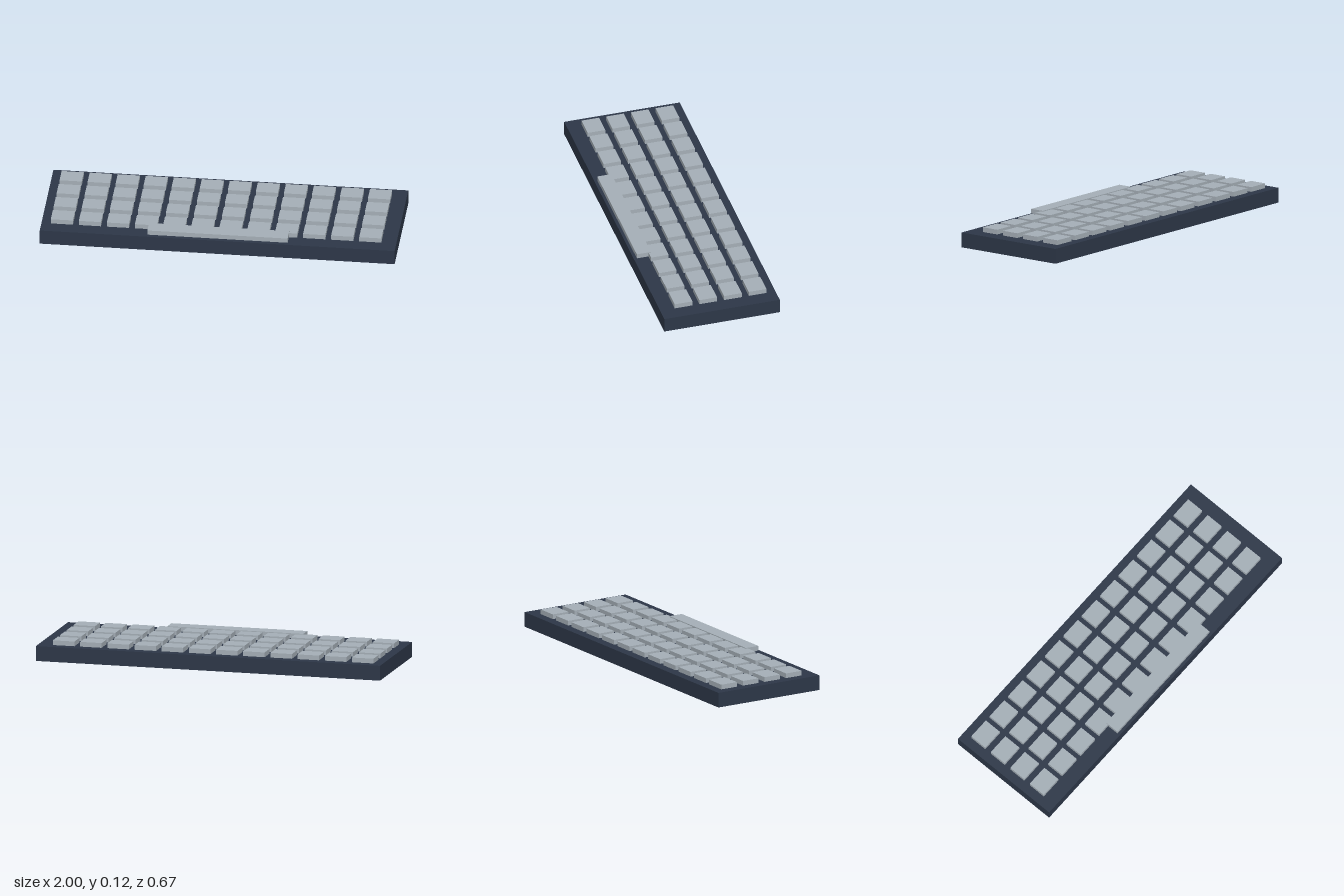
import * as THREE from 'three';

const caseMaterial = new THREE.MeshStandardMaterial({ color: 0x2d3748 });
const keyMaterial = new THREE.MeshStandardMaterial({ color: 0xa5afb7 });

function box(name, size, position, material) {
  const mesh = new THREE.Mesh(new THREE.BoxGeometry(...size), material);
  mesh.name = name;
  mesh.position.set(...position);
  return mesh;
}

export function createModel() {
  const model = new THREE.Group();
  model.name = 'keyboard';

  // Flat slab case
  const caseHeight = 0.085;
  model.add(box('case', [2, caseHeight, 0.673], [0, caseHeight / 2, 0], caseMaterial));

  // Four rows of twelve keys, from back to front
  const keys = new THREE.Group();
  keys.name = 'keys';
  const keyHeight = 0.027;
  for (let row = 0; row < 4; row++) {
    for (let column = 0; column < 12; column++) {
      const x = -0.885 + column * 0.158;
      const z = -0.232 + row * 0.144;
      keys.add(box('key', [0.125, keyHeight, 0.103], [x, caseHeight + keyHeight / 2, z], keyMaterial));
    }
  }
  model.add(keys);

  // Space bar, slightly raised and overlapping the front row
  model.add(box('spaceBar', [0.79, 0.027, 0.083], [0, 0.103, 0.279], keyMaterial));

  return model;
}
